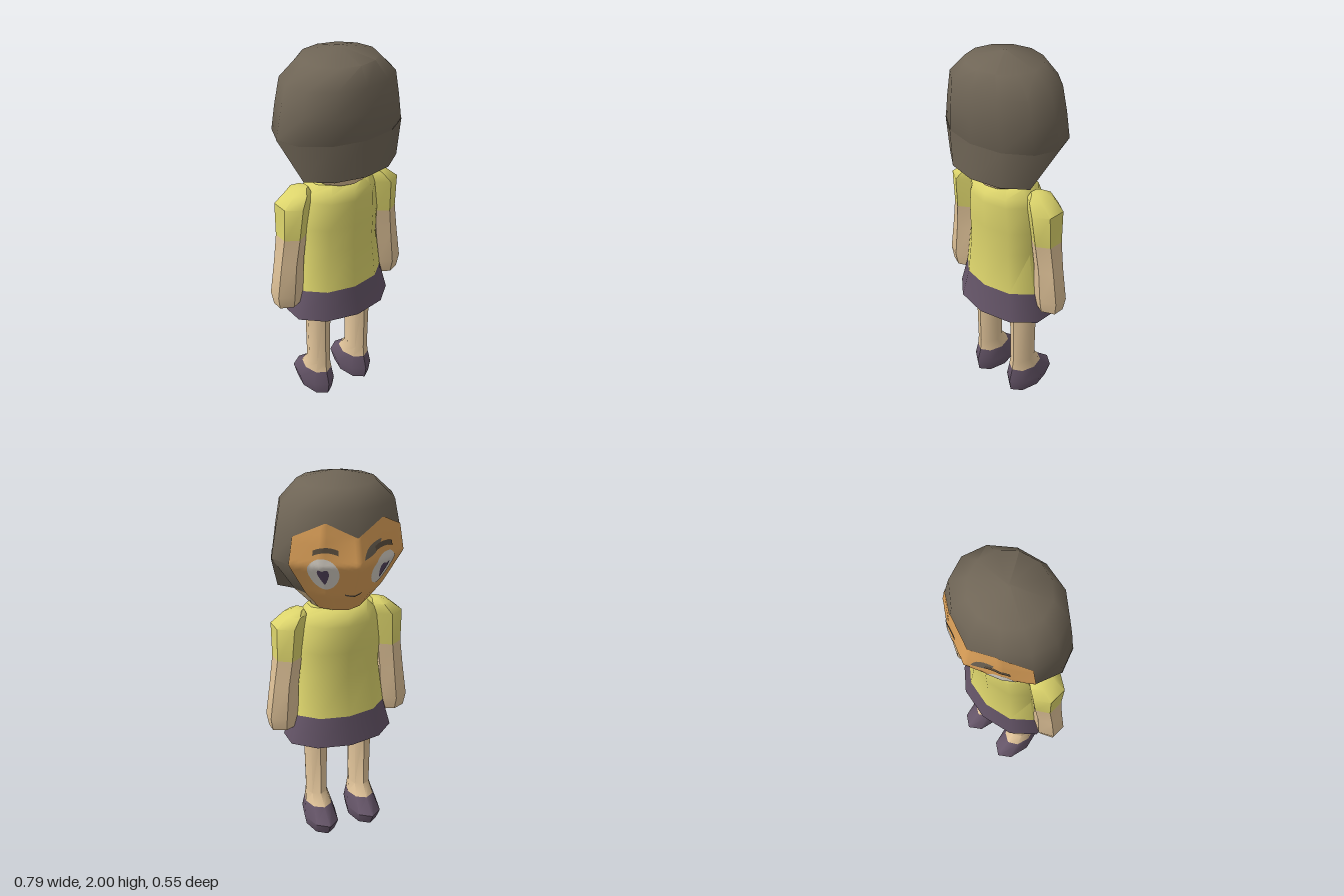
import * as THREE from 'three';
import { toCreasedNormals } from 'three/addons/utils/BufferGeometryUtils.js';

const material = (name, color, side = THREE.FrontSide) => {
  const m = new THREE.MeshStandardMaterial({ color, side });
  m.name = name;
  return m;
};

// A ring is [y, xMin, xMax, zMin, zMax, noseZ?]; column 0 lies at -z.
function ringPoint(ring, col, n) {
  const [y, x0, x1, z0, z1, nose] = ring;
  const a = (col / n) * Math.PI * 2;
  let widest = 0;
  for (let i = 0; i < n; i++) widest = Math.max(widest, Math.sin((i / n) * Math.PI * 2));
  const x = (x0 + x1) / 2 - (Math.sin(a) / widest) * (x1 - x0) / 2;
  let z = (z0 + z1) / 2 - Math.cos(a) * (z1 - z0) / 2;
  if (nose !== undefined && (col % n + n) % n === 0) z = nose;
  return new THREE.Vector3(x, y, z);
}

function finish(positions, index, groups = []) {
  const g = new THREE.BufferGeometry();
  g.setAttribute('position', new THREE.Float32BufferAttribute(positions, 3));
  g.setIndex(index);
  groups.forEach(([start, count, m]) => g.addGroup(start, count, m));
  return toCreasedNormals(g, 0.85);
}

// Closed loft through rings listed bottom to top; bands[j] picks the material of each band.
function loft(name, rings, n, materials, bands) {
  const pos = [], index = [], groups = [];
  rings.forEach(r => { for (let i = 0; i < n; i++) pos.push(...ringPoint(r, i, n)); });
  const last = rings.length - 1;
  const centre = r => {
    pos.push((r[1] + r[2]) / 2, r[0], (r[3] + r[4]) / 2);
    return pos.length / 3 - 1;
  };
  const bottom = centre(rings[0]), top = centre(rings[last]);
  for (let j = 0; j < last; j++) {
    const start = index.length;
    for (let i = 0; i < n; i++) {
      const k = (i + 1) % n, a = j * n + i, b = j * n + k, c = b + n, d = a + n;
      index.push(a, b, c, a, c, d);
      if (j === 0) index.push(bottom, b, a);
      if (j === last - 1) index.push(top, d, c);
    }
    groups.push([start, index.length - start, bands[j]]);
  }
  const mesh = new THREE.Mesh(finish(pos, index, groups), materials);
  mesh.name = name;
  return mesh;
}

const mirrorRings = (rings, side) =>
  rings.map(([y, a, b, ...z]) => side > 0 ? [y, a, b, ...z] : [y, -b, -a, ...z]);

const HEAD = [
  [1.32, -0.14, 0.14, -0.12, 0.165, -0.13],
  [1.42, -0.235, 0.235, -0.17, 0.205, -0.195],
  [1.595, -0.352, 0.352, -0.235, 0.265, -0.273],
  [1.73, -0.327, 0.327, -0.235, 0.27, -0.24],
  [1.86, -0.3, 0.3, -0.222, 0.265],
  [1.955, -0.2, 0.2, -0.16, 0.215],
  [2.0, -0.01, 0.01, 0.015, 0.035],
];

// Point on the head at column s and height y, pushed outwards.
function headPoint(s, y, out) {
  let j = 0;
  while (j < HEAD.length - 2 && y > HEAD[j + 1][0]) j++;
  const t = (y - HEAD[j][0]) / (HEAD[j + 1][0] - HEAD[j][0]);
  const i = Math.floor(s), f = s - i;
  const at = r => ringPoint(r, i, 12).lerp(ringPoint(r, i + 1, 12), f);
  const p = at(HEAD[j]).lerp(at(HEAD[j + 1]), t);
  const d = new THREE.Vector3(p.x, 0, p.z - 0.02).normalize();
  return p.addScaledVector(d, out);
}

// Wraps a flat grid onto the head; place maps its x, y to column and height.
function headPatch(name, geometry, mat, out, place) {
  const p = geometry.attributes.position;
  for (let i = 0; i < p.count; i++) {
    const [s, y] = place(p.getX(i), p.getY(i));
    const v = headPoint(s, y, out);
    p.setXYZ(i, v.x, v.y, v.z);
  }
  geometry.computeVertexNormals();
  const mesh = new THREE.Mesh(geometry, mat);
  mesh.name = name;
  return mesh;
}

export function createModel() {
  const hair = material('hair brown', 0x6f6556, THREE.DoubleSide);
  const skin = material('skin tan', 0xdfc298);
  const faceSkin = material('face orange', 0xdda159);
  const shirt = material('shirt yellow', 0xddd56c);
  const purple = material('skirt purple', 0x655568);
  const eyeWhite = material('eye white', 0xd6d0c6);
  const pupilColor = material('pupil purple', 0x55445e);
  const browColor = material('brow brown', 0x5d5040);
  const model = new THREE.Group();
  model.name = 'girl';

  // Head and hair cap
  const head = new THREE.Group();
  head.name = 'head';
  model.add(head);
  head.add(loft('skull', HEAD, 12, [skin, hair], [0, 1, 1, 1, 1, 1]));

  // Bob: flared back hair, cut straight at the bottom
  const pos = [], index = [];
  const hem = [1.4, -0.325, 0.325, 0.02, 0.27];
  for (let i = 3; i <= 9; i++) {
    const c = Math.min(8, Math.max(4, i));
    pos.push(...headPoint(i, 1.595, 0.002), ...ringPoint(hem, c, 12), ...headPoint(i, 1.41, -0.02));
    // pull the hem ring out to the full depth of the back hair
    const a = (c / 12) * Math.PI * 2, at = pos.length - 6;
    pos[at] = -Math.sin(a) * 0.325;
    pos[at + 2] = 0.015 - Math.cos(a) * 0.252;
  }
  for (let i = 0; i < 6; i++) {
    const a = i * 3, b = a + 3;
    index.push(a + 1, b + 1, b, a + 1, b, a, a + 2, b + 2, b + 1, a + 2, b + 1, a + 1);
  }
  index.push(0, 2, 1, 18, 19, 20);
  const bob = new THREE.Mesh(finish(pos, index), hair);
  bob.name = 'bobHair';
  head.add(bob);

  // Face with a pointed hairline
  const hairline = s => s < 0.95 ? 1.73 + 0.08 * s / 0.95 : 1.81 - 0.075 * (s - 0.95) / 1.05;
  head.add(headPatch('face', new THREE.PlaneGeometry(4, 1, 40, 24), faceSkin, 0.004,
    (s, v) => [s, 1.322 + (v + 0.5) * (hairline(Math.abs(s)) - 1.322)]));

  // Eyes, heart-shaped pupils and brows
  for (const side of [-1, 1]) {
    head.add(headPatch('eye', new THREE.RingGeometry(0.001, 1, 24, 8), eyeWhite, 0.007,
      (x, y) => [side + x * 0.47, 1.55 + y * 0.088]));
    head.add(headPatch('pupil', new THREE.RingGeometry(0.001, 1, 24, 5), pupilColor, 0.01,
      (x, y) => [side * 0.98 + x * 0.21 * (0.72 + 0.4 * y), 1.54 + y * 0.045 + (y > 0 ? 0.025 * (Math.abs(x) - 0.5) * y : 0)]));
    head.add(headPatch('brow', new THREE.PlaneGeometry(0.72, 0.026, 12, 2), browColor, 0.008,
      (x, y) => [side * 0.92 + x, 1.68 + y - 0.12 * x * x]));
  }
  head.add(headPatch('mouth', new THREE.PlaneGeometry(0.7, 0.009, 12, 1), browColor, 0.008,
    (x, y) => [x, 1.42 + y + 0.06 * x * x]));

  // Skirt and shirt
  model.add(loft('body', [
    [0.555, -0.29, 0.29, -0.18, 0.218],
    [0.715, -0.248, 0.248, -0.15, 0.185],
    [0.95, -0.217, 0.217, -0.132, 0.172],
    [1.08, -0.222, 0.222, -0.138, 0.176],
    [1.23, -0.205, 0.205, -0.145, 0.182],
    [1.275, -0.19, 0.19, -0.13, 0.172],
    [1.315, -0.155, 0.155, -0.09, 0.135],
  ], 10, [purple, shirt], [0, 1, 1, 1, 1, 1]));

  for (const side of [-1, 1]) {
    const label = side > 0 ? 'left' : 'right';
    // Arm with hand and short sleeve
    model.add(loft(label + 'Arm', mirrorRings([
      [0.645, 0.25, 0.383, -0.045, 0.08],
      [0.715, 0.242, 0.395, -0.062, 0.095],
      [0.9, 0.235, 0.37, -0.058, 0.092],
      [1.05, 0.218, 0.35, -0.068, 0.1],
      [1.23, 0.195, 0.35, -0.08, 0.118],
      [1.285, 0.185, 0.285, -0.062, 0.095],
      [1.307, 0.19, 0.235, -0.02, 0.055],
    ], side), 6, [skin, shirt], [0, 0, 0, 1, 1, 1]));
    // Leg with shoe
    model.add(loft(label + 'Leg', mirrorRings([
      [0, 0.052, 0.205, -0.158, 0.115],
      [0.065, 0.037, 0.22, -0.192, 0.125],
      [0.14, 0.055, 0.2, -0.105, 0.102],
      [0.2, 0.07, 0.188, -0.055, 0.095],
      [0.58, 0.063, 0.197, -0.057, 0.098],
    ], side), 8, [purple, skin], [0, 0, 1, 1]));
  }
  return model;
}
